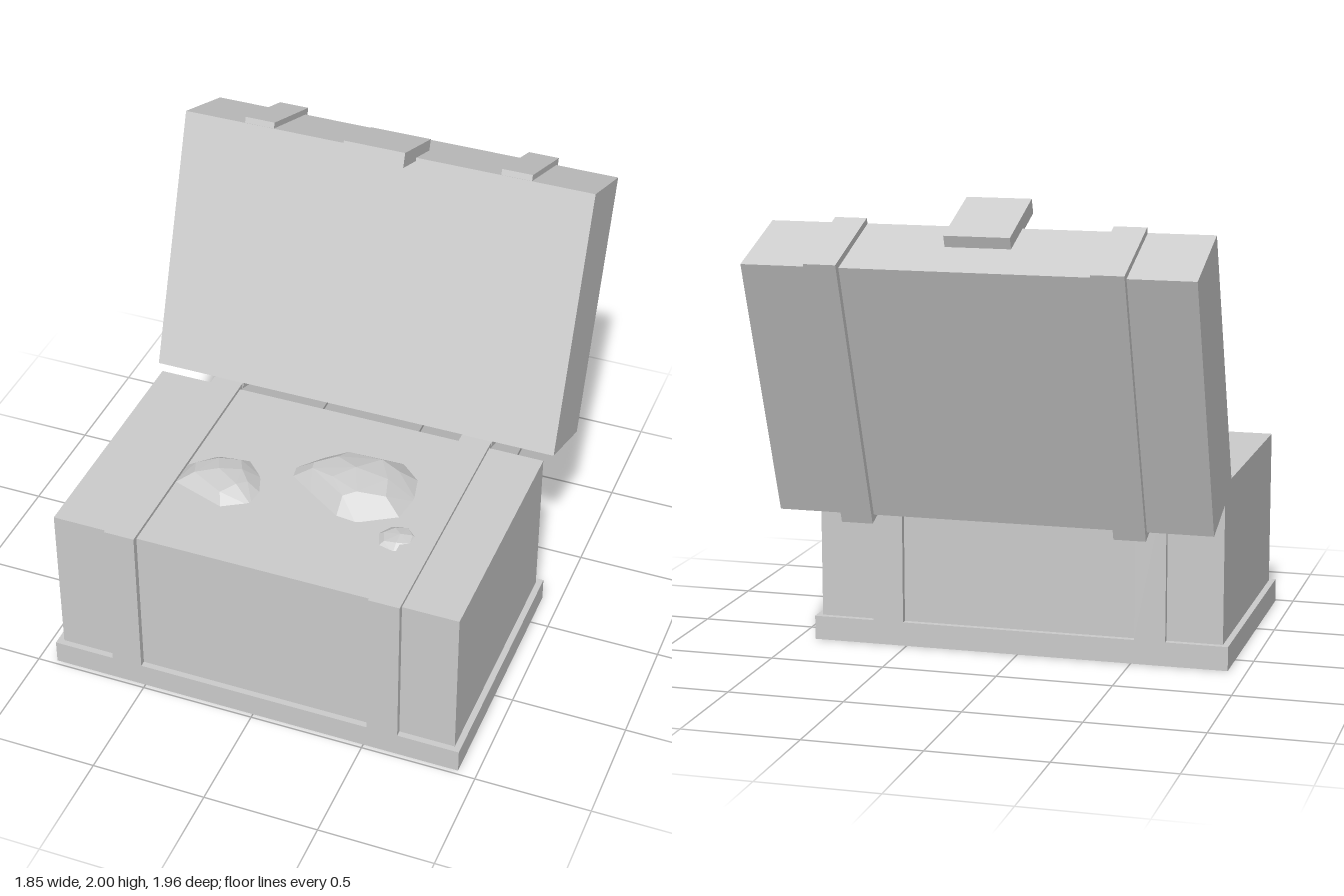
import * as THREE from 'three';
import { ConvexGeometry } from 'three/addons/geometries/ConvexGeometry.js';

const material = new THREE.MeshStandardMaterial({ color: 0xcccccc, flatShading: true });

// Box given by its lower and upper limits on each axis
function box(name, parent, [x0, x1], [y0, y1], [z0, z1]) {
  const mesh = new THREE.Mesh(new THREE.BoxGeometry(x1 - x0, y1 - y0, z1 - z0), material);
  mesh.position.set((x0 + x1) / 2, (y0 + y1) / 2, (z0 + z1) / 2);
  mesh.name = name;
  parent.add(mesh);
  return mesh;
}

// Faceted nugget: an outline on the chest top, rising through a smaller ring to a peak
function nugget(name, parent, outline, [px, py, pz]) {
  const floor = 0.785, rise = py - floor;
  const points = [new THREE.Vector3(px, py, pz)];
  outline.forEach(([x, z], i) => {
    points.push(new THREE.Vector3(x, floor, z));
    const k = i % 2 ? 0.52 : 0.66;
    points.push(new THREE.Vector3(px + (x - px) * k, floor + rise * (i % 2 ? 0.82 : 0.66), pz + (z - pz) * k));
  });
  const mesh = new THREE.Mesh(new ConvexGeometry(points), material);
  mesh.name = name;
  parent.add(mesh);
}

export function createModel() {
  const model = new THREE.Group();
  model.name = 'openChest';

  // Lower chest with plinth and straps
  const chest = new THREE.Group();
  chest.name = 'chest';
  model.add(chest);
  box('body', chest, [-0.893, 0.893], [0.05, 0.795], [-0.145, 0.953]);
  box('base', chest, [-0.92, 0.92], [0, 0.105], [-0.172, 0.98]);

  // Lid leaning back 20 degrees about its lower front edge
  const lid = new THREE.Group();
  lid.name = 'lid';
  lid.position.set(0, 0.78, -0.172);
  lid.rotation.x = THREE.MathUtils.degToRad(-20);
  model.add(lid);
  box('lidPanel', lid, [-0.927, 0.927], [0.027, 1.187], [-0.388, 0]);
  box('latch', lid, [-0.137, 0.137], [1.172, 1.237], [-0.18, 0.168]);

  for (const side of [-1, 1]) {
    const xs = side > 0 ? [0.515, 0.65] : [-0.65, -0.515];
    box('chestStrap', chest, xs, [0.105, 0.81], [-0.172, 0.98]);
    box('lidStrap', lid, xs, [0, 1.213], [-0.416, -0.003]);
  }

  // Nuggets poking out of the filled top
  const nuggets = new THREE.Group();
  nuggets.name = 'nuggets';
  model.add(nuggets);
  nugget('largeNugget', nuggets, [
    [-0.09, 0.28], [0, 0.17], [0.08, 0.1], [0.35, 0.08], [0.45, 0.17], [0.48, 0.3],
    [0.46, 0.44], [0.3, 0.54], [0.2, 0.53], [0.05, 0.43], [-0.08, 0.34],
  ], [0.2, 0.885, 0.29]);
  nugget('mediumNugget', nuggets, [
    [-0.53, 0.43], [-0.42, 0.32], [-0.27, 0.3], [-0.18, 0.39], [-0.145, 0.49],
    [-0.155, 0.58], [-0.27, 0.65], [-0.53, 0.56],
  ], [-0.35, 0.855, 0.47]);
  nugget('smallNugget', nuggets, [
    [0.39, 0.56], [0.43, 0.49], [0.52, 0.47], [0.59, 0.53], [0.58, 0.61], [0.5, 0.66], [0.42, 0.64],
  ], [0.5, 0.822, 0.56]);

  return model;
}
